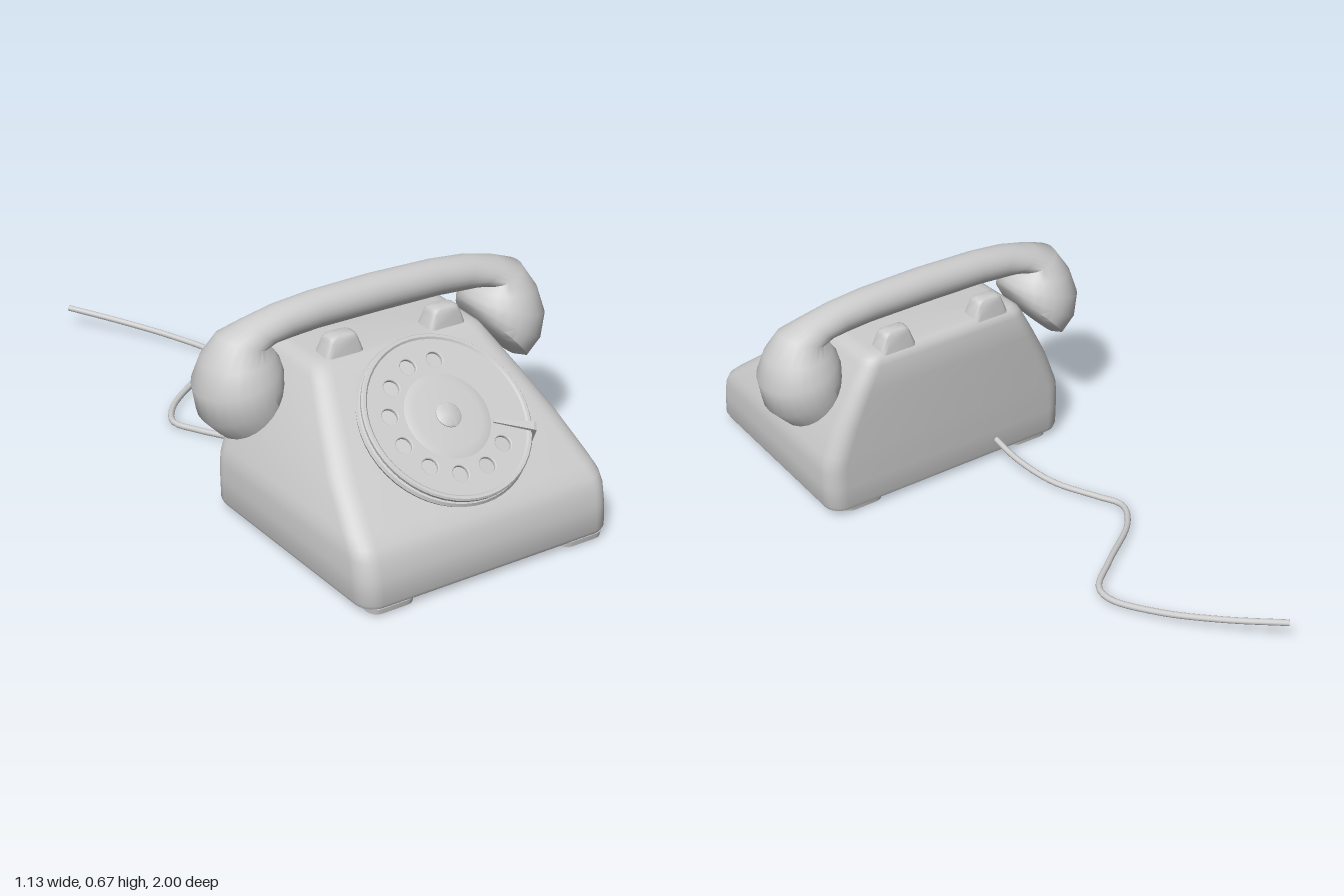
import * as THREE from 'three';
import { toCreasedNormals } from 'three/addons/utils/BufferGeometryUtils.js';

const grey = new THREE.MeshStandardMaterial({ color: 0xcccccc });
const V = (x, y, z) => new THREE.Vector3(x, y, z);

function add(parent, name, geometry, material = grey) {
  const mesh = new THREE.Mesh(geometry, material);
  mesh.name = name;
  parent.add(mesh);
  return mesh;
}

// Skin over a row of equal-length rings, closed at both ends
function loft(rings, crease = 0.7) {
  const pos = [], index = [], n = rings[0].length;
  rings.forEach(ring => ring.forEach(p => pos.push(p.x, p.y, p.z)));
  for (let i = 0; i < rings.length - 1; i++) {
    for (let j = 0; j < n; j++) {
      const a = i * n + j, b = i * n + (j + 1) % n;
      index.push(a, b, b + n, a, b + n, a + n);
    }
  }
  [0, rings.length - 1].forEach((row, end) => {
    const c = rings[row].reduce((s, p) => s.add(p), V(0, 0, 0)).divideScalar(n);
    const centre = pos.length / 3;
    pos.push(c.x, c.y, c.z);
    for (let j = 0; j < n; j++) {
      const a = row * n + j, b = row * n + (j + 1) % n;
      if (end) index.push(centre, a, b); else index.push(centre, b, a);
    }
  });
  const g = new THREE.BufferGeometry();
  g.setAttribute('position', new THREE.Float32BufferAttribute(pos, 3));
  g.setIndex(index);
  return toCreasedNormals(g, crease);
}

// Horizontal rounded rectangle: half width w, from z = back to z = front
function roundedRing(y, w, back, front, r, steps = 6) {
  const ring = [];
  [[1, 0], [-1, 0], [-1, 1], [1, 1]].forEach(([side, atFront], k) => {
    for (let i = 0; i <= steps; i++) {
      const t = (k + i / steps) * Math.PI / 2;
      ring.push(V(side * (w - r) + r * Math.cos(t), y,
        (atFront ? front - r : back + r) - r * Math.sin(t)));
    }
  });
  return ring;
}

function makeBody() {
  // y, half width, back z, front z, corner radius
  const levels = [
    [0.015, 0.415, 0.275, 0.98, 0.05], [0.019, 0.432, 0.264, 0.994, 0.055],
    [0.032, 0.439, 0.26, 1.0, 0.06], [0.1, 0.441, 0.26, 0.992, 0.06],
    [0.15, 0.441, 0.26, 0.98, 0.06], [0.18, 0.438, 0.26, 0.962, 0.06],
    [0.205, 0.43, 0.26, 0.933, 0.06], [0.3, 0.394, 0.26, 0.812, 0.06],
    [0.4, 0.342, 0.26, 0.686, 0.055], [0.48, 0.298, 0.262, 0.586, 0.05],
    [0.5, 0.285, 0.27, 0.56, 0.045], [0.51, 0.268, 0.283, 0.54, 0.04],
    [0.513, 0.245, 0.3, 0.52, 0.03]];
  const rings = levels.map(l => roundedRing(...l));
  // sides draw in slightly towards the front
  rings.flat().forEach(p => { p.x *= 1 - 0.1 * (p.z - 0.3); });
  return loft(rings);
}

function makeHandset() {
  // outer point, inner point (x, y) and half depth, from grip middle to cup face
  const half = [
    [0.2, 0.662, 0.2, 0.556, 0.055], [0.32, 0.65, 0.28, 0.551, 0.056],
    [0.42, 0.625, 0.33, 0.551, 0.062], [0.495, 0.596, 0.358, 0.55, 0.078],
    [0.543, 0.525, 0.343, 0.54, 0.108], [0.567, 0.445, 0.328, 0.518, 0.134],
    [0.55, 0.36, 0.323, 0.5, 0.141], [0.498, 0.306, 0.328, 0.486, 0.136],
    [0.465, 0.315, 0.343, 0.452, 0.105]];
  const mirrored = half.map(([px, py, qx, qy, d]) => [-px, py, -qx, qy, d]).reverse();
  const sections = [...mirrored, [0, 0.667, 0, 0.557, 0.055], ...half];
  const sides = 24;
  return loft(sections.map(([px, py, qx, qy, d]) =>
    Array.from({ length: sides }, (_, i) => {
      const t = i / sides * Math.PI * 2, c = Math.cos(t) / 2;
      return V((px + qx) / 2 + (px - qx) * c, (py + qy) / 2 + (py - qy) * c,
        0.41 + d * Math.sin(t));
    })), 0.9);
}

const lathe = (points) => toCreasedNormals(
  new THREE.LatheGeometry(points.map(p => new THREE.Vector2(...p)), 48), 0.6);

function makeDial() {
  const dial = new THREE.Group();
  dial.name = 'dial';
  add(dial, 'dialBase', lathe([[0, -0.02], [0.235, -0.02], [0.25, 0.0], [0.255, 0.012],
    [0.25, 0.021], [0.235, 0.024], [0, 0.024]]));

  // finger plate with nine holes
  const disc = new THREE.Shape().absarc(0, 0, 0.246, 0, Math.PI * 2);
  for (let i = 0; i < 9; i++) {
    const a = THREE.MathUtils.degToRad(75 + 30 * i);
    disc.holes.push(new THREE.Path().absarc(
      0.17 * Math.cos(a), 0.17 * Math.sin(a), 0.026, 0, Math.PI * 2, true));
  }
  const plate = new THREE.ExtrudeGeometry(disc, {
    depth: 0.006, bevelThickness: 0.003, bevelSize: 0.003, bevelSegments: 2, curveSegments: 24 });
  plate.rotateX(-Math.PI / 2).translate(0, 0.031, 0);
  add(dial, 'fingerPlate', plate);
  add(dial, 'plateRim', lathe([[0.249, 0.033], [0.25, 0.04], [0.246, 0.045],
    [0.238, 0.045], [0.232, 0.039]]));
  add(dial, 'plateBoss', lathe([[0.13, 0.039], [0.118, 0.043], [0.1, 0.045], [0, 0.045]]));
  add(dial, 'centreButton', lathe([[0.037, 0.04], [0.037, 0.048], [0.031, 0.052], [0, 0.054]]));

  // bent finger stop reaching in over the plate
  const blade = new THREE.Shape([[0.128, 0.05], [0.24, 0.054], [0.258, 0.0], [0.268, 0.0],
    [0.252, 0.062], [0.244, 0.064], [0.128, 0.055]].map(p => new THREE.Vector2(...p)));
  const stop = new THREE.ExtrudeGeometry(blade, { depth: 0.024, bevelEnabled: false });
  stop.translate(0, 0, -0.012);
  // blade narrows to its tip
  const p = stop.attributes.position;
  for (let i = 0; i < p.count; i++) if (p.getX(i) < 0.15) p.setZ(i, p.getZ(i) * 0.35);
  stop.computeVertexNormals();
  add(dial, 'fingerStop', stop).rotation.y = -0.45;

  dial.position.set(0, 0.355, 0.745);
  dial.rotation.x = THREE.MathUtils.degToRad(39);
  return dial;
}

export function createModel() {
  const phone = new THREE.Group();
  phone.name = 'rotaryTelephone';
  add(phone, 'body', makeBody());
  add(phone, 'handset', makeHandset());
  phone.add(makeDial());

  for (const side of [-1, 1]) {
    // tapered cradle prongs in front of and behind the grip
    for (const [name, back, front] of [['rearProng', 0.272, 0.348], ['frontProng', 0.455, 0.535]]) {
      const prong = loft([[0.49, 0.068, 0], [0.513, 0.06, 0.003], [0.55, 0.047, 0.009],
        [0.562, 0.042, 0.013], [0.567, 0.033, 0.02]].map(([y, w, inset]) =>
        roundedRing(y, w, back + inset, front - inset, 0.016, 4)));
      add(phone, name, prong).position.x = side * 0.17;
    }
    // flat feet
    for (const z of [0.34, 0.925]) {
      const foot = loft([[0, 0.062], [0.004, 0.07], [0.02, 0.072]].map(([y, w]) =>
        roundedRing(y, w, z - w, z + w, 0.03, 4)));
      add(phone, 'foot', foot).position.x = side * 0.315;
    }
  }

  // trailing cord
  const path = [[-0.175, 0.068, 0.28], [-0.178, 0.045, 0.15], [-0.212, 0.023, 0.01],
    [-0.28, 0.014, -0.12], [-0.315, 0.013, -0.2], [-0.265, 0.016, -0.29],
    [-0.09, 0.024, -0.42], [0.012, 0.02, -0.5], [0.02, 0.018, -0.56],
    [-0.045, 0.028, -0.7], [-0.15, 0.047, -0.85], [-0.272, 0.07, -0.995]];
  const curve = new THREE.CatmullRomCurve3(path.map(p => V(...p)));
  const cordMaterial = grey.clone();
  cordMaterial.side = THREE.DoubleSide;
  add(phone, 'cord', new THREE.TubeGeometry(curve, 70, 0.0095, 10), cordMaterial);
  return phone;
}
